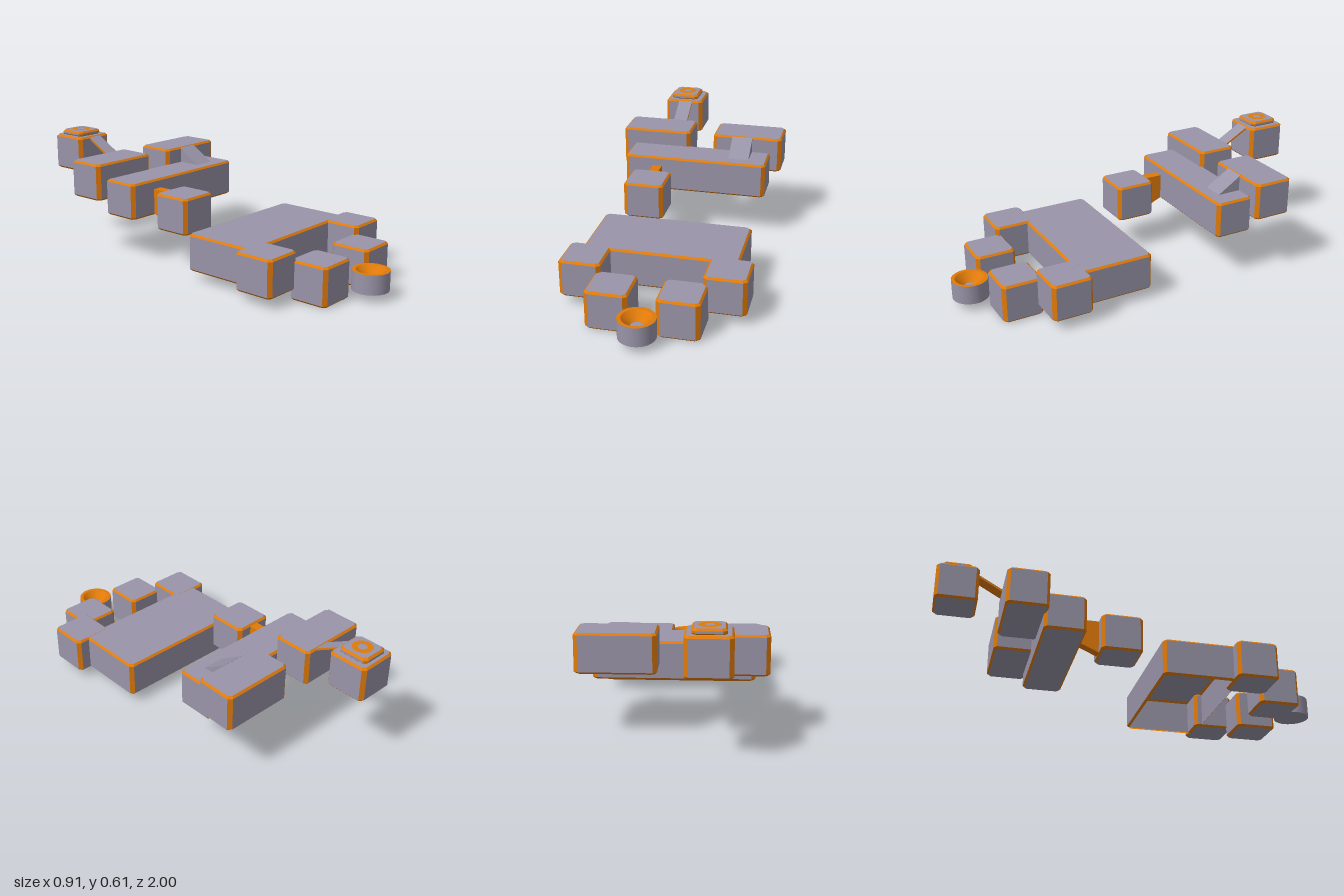
import * as THREE from 'three';

const grey = new THREE.MeshStandardMaterial({ color: 0x9994a8, side: THREE.DoubleSide });
grey.name = 'lavender grey';
const orange = new THREE.MeshStandardMaterial({ color: 0xe07a0a, side: THREE.DoubleSide });
orange.name = 'orange';

// Flat-faced geometry from polygons, grouped as [grey, orange]
function facets(greyFaces, orangeFaces) {
  const pos = [];
  const geo = new THREE.BufferGeometry();
  [greyFaces, orangeFaces].forEach((faces, m) => {
    const start = pos.length / 3;
    for (const f of faces) {
      for (let i = 1; i < f.length - 1; i++) pos.push(...f[0], ...f[i], ...f[i + 1]);
    }
    geo.addGroup(start, pos.length / 3 - start, m);
  });
  geo.setAttribute('position', new THREE.Float32BufferAttribute(pos, 3));
  geo.computeVertexNormals();
  return geo;
}

// Block with grey faces and orange chamfers, optionally open underneath
function block(x0, x1, y0, y1, z0, z1, { open = false, bevel = 0.01, cut = 0.02 } = {}) {
  const ring = (y, s) => {
    const a = x0 + s, b = x1 - s, c = z0 + s, d = z1 - s;
    const k = cut - s * 0.4, q = k * 0.8;
    return [
      [b, y, c + q], [b, y, d - q], [b - k, y, d], [a + k, y, d],
      [a, y, d - q], [a, y, c + q], [a + k, y, c], [b - k, y, c],
    ];
  };
  const rings = [ring(y0, bevel), ring(y0 + bevel, 0), ring(y1 - bevel, 0), ring(y1, bevel)];
  const greyFaces = [[...rings[3]].reverse()];
  const orangeFaces = [];
  if (!open) greyFaces.push(rings[0]);
  for (let r = 0; r < 3; r++) {
    for (let i = 0; i < 8; i++) {
      const j = (i + 1) % 8;
      const quad = [rings[r][i], rings[r + 1][i], rings[r + 1][j], rings[r][j]];
      (r === 1 && i % 2 === 0 ? greyFaces : orangeFaces).push(quad);
    }
  }
  return facets(greyFaces, orangeFaces);
}

// Prism spanning x0..x1 from a (z, y) outline
function prism(x0, x1, outline) {
  const shape = new THREE.Shape(outline.map(([z, y]) => new THREE.Vector2(-z, y)));
  const geo = new THREE.ExtrudeGeometry(shape, { depth: x1 - x0, bevelEnabled: false });
  geo.rotateY(Math.PI / 2);
  geo.translate(x0, 0, 0);
  return geo;
}

export function createModel() {
  const model = new THREE.Group();
  model.name = 'steppedPlatforms';
  const add = (name, geo, mat = [grey, orange]) => {
    const mesh = new THREE.Mesh(geo, mat);
    mesh.name = name;
    model.add(mesh);
    return mesh;
  };

  // Lower platform, hollow underneath, with arms and steps on both sides
  add('lowerPlatform', block(-0.385, 0.385, 0.05, 0.238, 0.103, 0.495, { open: true }));
  for (const [side, s] of [['left', 1], ['right', -1]]) {
    const pair = (name, a, b, ...rest) =>
      add(side + name, block(Math.min(s * a, s * b), Math.max(s * a, s * b), ...rest));
    pair('Arm', 0.245, 0.454, 0.05, 0.239, 0.457, 0.667);
    pair('FrontStep', 0.065, 0.273, 0, 0.195, 0.635, 0.842);
    pair('UpperPlatform', 0.066, 0.446, 0.31, 0.502, -0.672, -0.464);
  }

  // Middle block, long beam and far tower
  add('middleBlock', block(-0.315, -0.104, 0.188, 0.378, -0.185, 0.024));
  add('longBeam', block(-0.386, 0.386, 0.23, 0.418, -0.48, -0.273));
  add('towerBlock', block(-0.28, -0.068, 0.39, 0.577, -1, -0.79));
  add('towerCap', block(-0.252, -0.1, 0.572, 0.603, -0.977, -0.818));

  // Painted ring on the tower cap
  const ring = new THREE.RingGeometry(0.022, 0.05, 24);
  ring.rotateX(-Math.PI / 2);
  add('capRing', ring, orange).position.set(-0.176, 0.605, -0.898);

  // Solid ramp from the beam to the left upper platform
  add('beamRamp', prism(0.174, 0.285, [[-0.337, 0.416], [-0.47, 0.416], [-0.47, 0.499]]), grey);

  // Thin ramp to the tower: grey walking surface over an orange plate
  const a = [-0.66, 0.494], b = [-0.795, 0.57];
  add('towerRampPlate', prism(-0.206, -0.13, [a, [a[0], a[1] - 0.01], [b[0], b[1] - 0.01], b]), orange);
  const y = 0.002;
  add('towerRampSurface', facets([[
    [-0.206, a[1] + y, a[0]], [-0.13, a[1] + y, a[0]], [-0.13, b[1] + y, b[0]], [-0.206, b[1] + y, b[0]],
  ]], []));

  // Orange bracket joining the middle block to the beam
  add('bracket', prism(-0.233, -0.182, [[-0.17, 0.369], [-0.17, 0.192], [-0.285, 0.243], [-0.285, 0.369]]), orange);

  // Round cup with a grey wall, orange funnel and grey floor
  const lathe = (pts) => new THREE.LatheGeometry(pts.map(([r, h]) => new THREE.Vector2(r, h)), 32);
  const cup = new THREE.Group();
  cup.name = 'cup';
  for (const [name, pts, mat] of [
    ['cupBase', [[0, 0.04], [0.09, 0.04]], grey],
    ['cupWall', [[0.09, 0.04], [0.09, 0.137]], grey],
    ['cupRim', [[0.09, 0.137], [0.072, 0.137]], orange],
    ['cupFunnel', [[0.072, 0.137], [0.03, 0.095]], orange],
    ['cupFloor', [[0.03, 0.095], [0, 0.095]], grey],
  ]) {
    const mesh = new THREE.Mesh(lathe(pts), mat);
    mesh.name = name;
    cup.add(mesh);
  }
  cup.position.z = 0.908;
  model.add(cup);

  return model;
}
